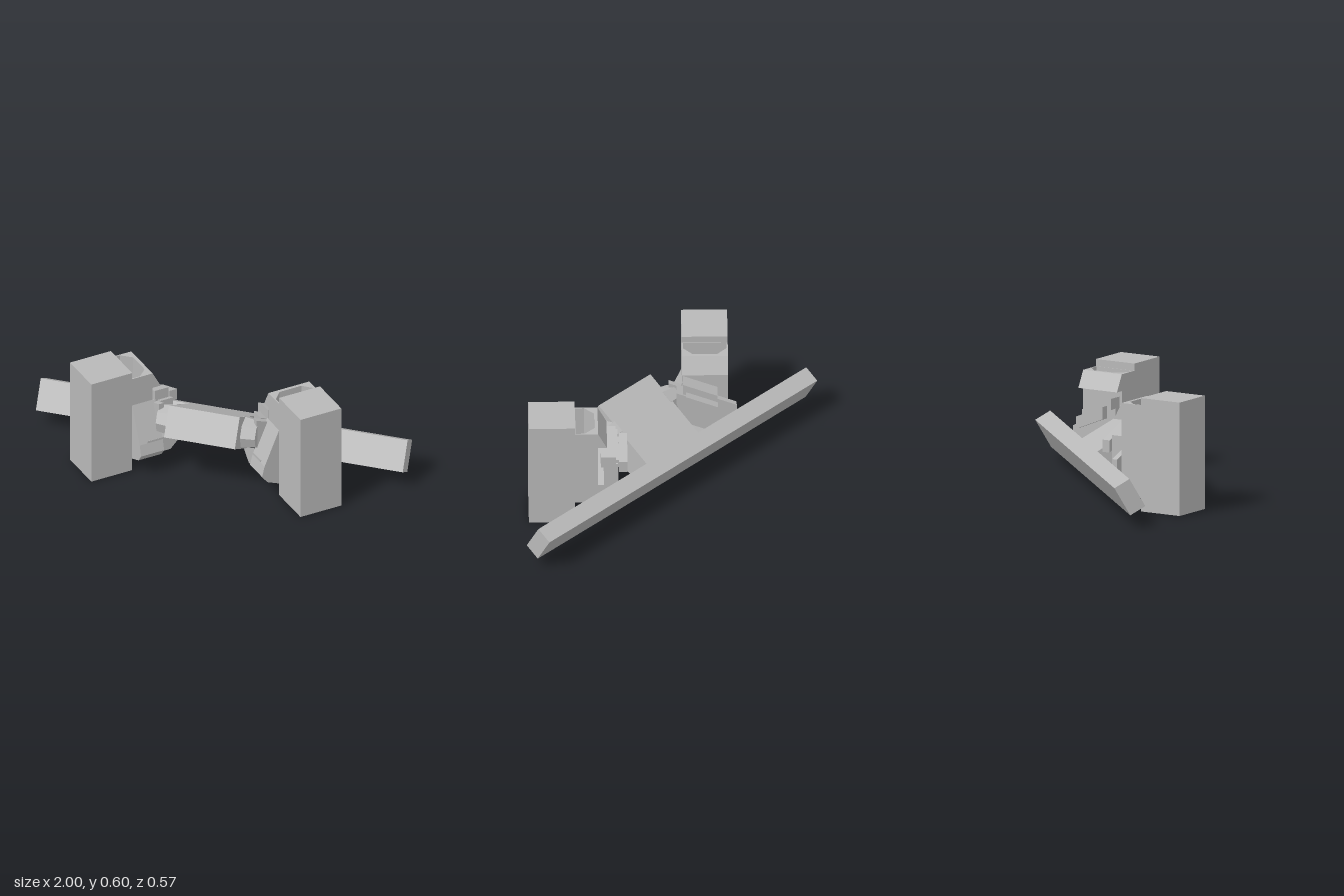
import * as THREE from 'three';

const TILT = Math.PI / 6;   // pitch of the T-shaped plate
const SLOPE = 0.4;          // rise of the sloped clamp parts along their width

export function createModel() {
  const model = new THREE.Group();
  model.name = 'frame';
  const grey = new THREE.MeshStandardMaterial({ color: 0xb8b8b8, flatShading: true });
  grey.name = 'plain grey';

  const add = (parent, geometry, name) => {
    const mesh = new THREE.Mesh(geometry, grey);
    mesh.name = name;
    parent.add(mesh);
    return mesh;
  };
  // Box given by its ranges in x, y and z
  const span = (x0, x1, y0, y1, z0, z1) =>
    new THREE.BoxGeometry(x1 - x0, y1 - y0, z1 - z0)
      .translate((x0 + x1) / 2, (y0 + y1) / 2, (z0 + z1) / 2);
  const shapeOf = (pts) => new THREE.Shape(pts.map(([x, y]) => new THREE.Vector2(x, y)));
  const extrude = (shape, depth) =>
    new THREE.ExtrudeGeometry(shape, { depth, bevelEnabled: false });
  // Plan outline (x, z) extruded upward from y0 to y1
  const fromPlan = (shape, y0, y1) =>
    extrude(shape, y1 - y0).rotateX(Math.PI / 2).translate(0, y1, 0);
  // Side profile (z, y) extruded across x0..x1
  const fromSide = (pts, x0, x1) =>
    extrude(shapeOf(pts), x1 - x0).rotateY(-Math.PI / 2).translate(x1, 0, 0);
  // Raise y in proportion to x
  const slope = (geometry) => {
    const p = geometry.attributes.position;
    for (let i = 0; i < p.count; i++) p.setY(i, p.getY(i) + SLOPE * p.getX(i));
    geometry.computeVertexNormals();
    return geometry;
  };

  // Tilted T-shaped plate: long crossbar at the back, stem to the front
  const plate = new THREE.Group();
  plate.name = 'tiltedPlate';
  plate.position.set(0, 0.063, -0.202);
  plate.rotation.x = -TILT;
  model.add(plate);
  const tee = shapeOf([[-1, 0], [1, 0], [1, 0.092], [0.193, 0.092],
    [0.193, 0.492], [-0.193, 0.492], [-0.193, 0.092], [-1, 0.092]]);
  add(plate, fromPlan(tee, 0, 0.169), 'crossbarAndStem');

  for (const side of [1, -1]) {
    const half = new THREE.Group();
    half.name = side > 0 ? 'leftSide' : 'rightSide';
    half.scale.x = side;
    model.add(half);

    // Octagonal neck joining the stem to the arm
    const neck = add(half, new THREE.CylinderGeometry(0.075, 0.09, 0.09, 8)
      .rotateY(Math.PI / 8).rotateZ(-Math.PI / 2).rotateX(-TILT), 'neck');
    neck.position.set(0.225, 0.31, 0.05);

    // Clamp frame: local z points inward and back, local x inward and front
    const clamp = new THREE.Group();
    clamp.name = 'clamp';
    clamp.position.set(0.57, 0, 0.115);
    clamp.rotation.y = -Math.PI * 0.75;
    half.add(clamp);

    add(clamp, span(-0.12, 0.12, 0, 0.6, -0.12, 0.12), 'post');

    // Bracket ring with a chamfered vertical opening
    const ring = shapeOf([[-0.12, 0.12], [0.12, 0.12], [0.12, 0.24], [-0.12, 0.24]]);
    ring.holes.push(new THREE.Path([[-0.113, 0.123], [-0.113, 0.17], [-0.064, 0.222],
      [0.064, 0.222], [0.113, 0.17], [0.113, 0.123]].map(([x, y]) => new THREE.Vector2(x, y))));
    add(clamp, fromPlan(ring, 0.125, 0.562), 'bracket');

    // Hook with a sloped top at the bracket's upper edge
    add(clamp, fromSide([[0.235, 0.562], [0.24, 0.562], [0.287, 0.473], [0.235, 0.473]],
      -0.12, 0.12), 'hook');

    // Flared flank beside the bracket
    const flank = shapeOf([[0.118, 0.07], [0.19, 0.1], [0.22, 0.14], [0.205, 0.2], [0.12, 0.4], [0.118, 0.4]]);
    add(clamp, extrude(flank, 0.135).translate(0, 0, 0.12), 'flank');

    // Sloped foot carrying the arm from below
    add(clamp, slope(fromSide([[0.165, 0.044], [0.3, 0.044], [0.35, 0.095],
      [0.345, 0.11], [0.26, 0.13], [0.165, 0.13]], 0, 0.205)), 'foot');

    // Arm: long thin plate, middle block and raised head
    add(clamp, slope(span(-0.165, 0.19, 0.18, 0.335, 0.24, 0.27)), 'armPlate');
    add(clamp, slope(span(-0.05, 0.15, 0.17, 0.34, 0.27, 0.345)), 'armBlock');
    add(clamp, slope(span(-0.065, 0.115, 0.305, 0.4, 0.255, 0.335)), 'armHead');
    add(clamp, slope(span(-0.065, 0.1, 0.305, 0.37, 0.35, 0.394)), 'armHeadCap');
    add(clamp, slope(span(-0.045, 0.09, 0.315, 0.36, 0.33, 0.355)), 'armHeadGroove');
  }
  return model;
}
